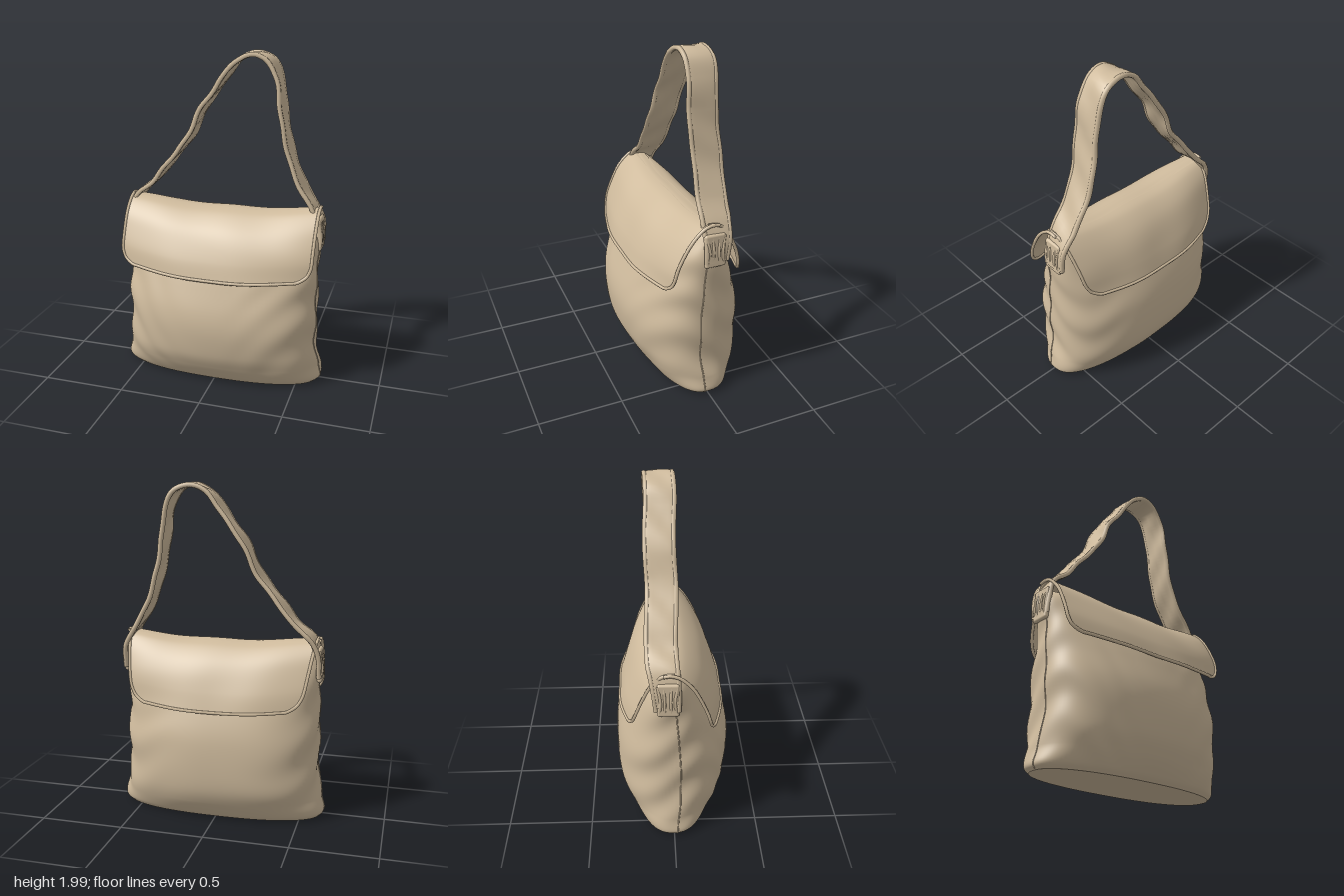
import * as THREE from 'three';
import { ParametricGeometry } from 'three/addons/geometries/ParametricGeometry.js';
import { RoundedBoxGeometry } from 'three/addons/geometries/RoundedBoxGeometry.js';

const canvas = new THREE.MeshStandardMaterial({ color: 0xcfbb9d, side: THREE.DoubleSide });
canvas.name = 'tan canvas';

const V = (x, y, z = 0) => new THREE.Vector3(x, y, z);
const spline = (pts) => new THREE.CatmullRomCurve3(pts.map((p) => V(...p)), false, 'catmullrom', 0.5);
const spow = (c, e) => Math.sign(c) * Math.pow(Math.abs(c), e);

function add(group, name, geometry) {
  const mesh = new THREE.Mesh(geometry, canvas);
  mesh.name = name;
  group.add(mesh);
  return mesh;
}

function piping(group, name, points, radius) {
  const curve = new THREE.CatmullRomCurve3(points, false, 'centripetal');
  return add(group, name, new THREE.TubeGeometry(curve, points.length * 3, radius, 6));
}

// Soft cloth folds, stronger towards the sides
function folds(x, y, z) {
  const side = Math.min(1, Math.abs(x) / 0.55);
  const broad = Math.sin(7 * x + 9 * y + 3 * z) * Math.sin(8 * y - 5 * x + 1);
  const creases = Math.sin(24 * y - 13 * Math.abs(x) + 4 * Math.sin(5 * x + 6 * z));
  return 0.005 * broad + 0.006 * side * side * creases;
}

// Body profile: half width, height, depth (front and back)
const rows = [
  [0.615, 0, 0.2, -0.21], [0.638, 0.035, 0.235, -0.245], [0.615, 0.12, 0.29, -0.3],
  [0.597, 0.22, 0.335, -0.335], [0.592, 0.36, 0.35, -0.348], [0.592, 0.5, 0.335, -0.335],
  [0.59, 0.65, 0.29, -0.3], [0.59, 0.78, 0.235, -0.255], [0.59, 0.9, 0.18, -0.205],
  [0.583, 0.99, 0.11, -0.145], [0.56, 1.045, 0.03, -0.09], [0.54, 1.058, -0.03, -0.05],
];
const frontProfile = spline(rows.map(([w, y, f]) => [w, y, f]));
const backProfile = spline(rows.map(([w, y, , b]) => [w, y, b]));

function bodyPoint(angle, t, target) {
  const f = frontProfile.getPoint(t), b = backProfile.getPoint(t);
  const mid = (f.z + b.z) / 2, half = (f.z - b.z) / 2;
  const c = Math.cos(angle), s = -Math.sin(angle);
  const x = f.x * spow(c, 0.84), z = mid + half * spow(s, 0.84);
  const n = folds(x, f.y, z) * Math.min(1, f.y * 8);
  return target.set(x + n * c, Math.max(0, f.y), z + n * s);
}

function makeBody(group) {
  add(group, 'bagBody', new ParametricGeometry(
    (u, v, p) => bodyPoint(u * Math.PI * 2, v, p), 120, 80));
  add(group, 'bagBase', new ParametricGeometry((u, v, p) => {
    const k = 0.002 + 0.998 * v;
    bodyPoint(u * Math.PI * 2, 0, p);
    p.set(p.x * k, 0, p.z * k);
  }, 120, 4));
  // Seams down both sides
  for (const side of [1, -1]) {
    const pts = [];
    for (let i = 0; i <= 24; i++) {
      const t = 0.02 + (i / 24) * 0.68;
      pts.push(bodyPoint(side > 0 ? -0.07 : Math.PI + 0.07, t, V(0, 0)));
    }
    piping(group, 'sideSeam', pts, 0.004);
  }
}

// Flap draped from the top ridge, s = 1 for front and -1 for back
function makeFlap(group, name, s, profile, halfWidth, taper, drop) {
  const curve = spline(profile.map(([y, z]) => [0, y, z]));
  const point = (u, v, p) => {
    const c = curve.getPoint(v);
    const corner = Math.max(0, (v - 0.84) / 0.16);
    const hw = halfWidth - taper * v * v - 0.075 * (1 - Math.sqrt(Math.max(0, 1 - corner * corner)));
    const x = -s * (2 * u - 1) * hw, r = Math.abs(x / 0.58);
    const y = c.y + 0.035 * r * r + 0.004 * Math.sin(13 * x + 1) * (1 - v);
    const n = 0.004 * Math.sin(10 * x + 14 * y) * Math.sin(9 * y - 6 * x);
    return p.set(x, y, c.z - s * drop * v * Math.pow(r, 2.5) + s * n);
  };
  add(group, name, new ParametricGeometry(point, 64, 48));
  // Bound hem along the free edge
  const hem = [];
  for (let i = 0; i <= 24; i++) hem.push(point(0, i / 24, V(0, 0)));
  for (let i = 1; i < 24; i++) hem.push(point(i / 24, 1, V(0, 0)));
  for (let i = 24; i >= 0; i--) hem.push(point(1, i / 24, V(0, 0)));
  piping(group, name + 'Hem', hem, 0.01);
}

// Shoulder strap leaning to one side
const strapPath = new THREE.CatmullRomCurve3([
  [-0.595, 0.88], [-0.585, 1.0], [-0.55, 1.1], [-0.45, 1.19], [-0.38, 1.28], [-0.29, 1.39],
  [-0.21, 1.5], [-0.15, 1.64], [-0.07, 1.75], [0, 1.85], [0.07, 1.935], [0.17, 1.977],
  [0.26, 1.945], [0.315, 1.84], [0.34, 1.68], [0.37, 1.5], [0.415, 1.34], [0.47, 1.22],
  [0.55, 1.09], [0.59, 1.0], [0.598, 0.88],
].map((p) => V(...p)));

function strapPoint(t, across, out, target) {
  const c = strapPath.getPointAt(t), d = strapPath.getTangentAt(t);
  const end = Math.max(0, 1 - Math.min(t, 1 - t) / 0.1);
  const half = 0.086 - 0.018 * end;
  const z = -0.065 + 0.025 * end + 0.005 * Math.sin(t * 30);
  const o = out + 0.005 * Math.sin(t * 70 + across * 2) * (1 - across * across * 0.5);
  return target.set(c.x - d.y * o, c.y + d.x * o, z + half * across);
}

function makeStrap(group) {
  add(group, 'strap', new ParametricGeometry((u, v, p) => {
    const a = -u * Math.PI * 2;
    strapPoint(v, spow(Math.cos(a), 0.4), 0.012 * spow(Math.sin(a), 0.4), p);
  }, 28, 120));
  for (const edge of [-1, 1]) {
    const pts = [];
    for (let i = 0; i <= 60; i++) pts.push(strapPoint(i / 60, edge * 0.92, 0, V(0, 0)));
    piping(group, 'strapEdge', pts, 0.015);
  }
}

// Gathered tabs that fix the strap to the sides
function makeTab(group, side) {
  const tab = add(group, 'strapTab', new RoundedBoxGeometry(0.03, 0.2, 0.125, 3, 0.014));
  tab.position.set(side * 0.59, 0.95, -0.035);
  tab.rotation.z = side * 0.06;
  for (const z of [-0.085, -0.055, -0.015, 0.015]) {
    piping(group, 'tabFold', [
      V(side * 0.6, 0.865, z), V(side * 0.606, 0.94, z * 0.8 - 0.01), V(side * 0.59, 1.04, z * 1.1),
    ], 0.009);
  }
}

export function createModel() {
  const bag = new THREE.Group();
  bag.name = 'shoulderBag';
  makeBody(bag);
  makeFlap(bag, 'frontFlap', 1, [
    [1.062, -0.06], [1.066, 0.0], [1.045, 0.07], [0.98, 0.15], [0.9, 0.212], [0.8, 0.265], [0.695, 0.297],
  ], 0.588, 0.005, 0.09);
  makeFlap(bag, 'backFlap', -1, [
    [1.066, 0.0], [1.062, -0.06], [1.04, -0.12], [0.98, -0.185], [0.9, -0.238], [0.8, -0.283], [0.69, -0.315],
  ], 0.575, 0.07, 0.11);
  makeStrap(bag);
  makeTab(bag, 1);
  makeTab(bag, -1);
  return bag;
}
